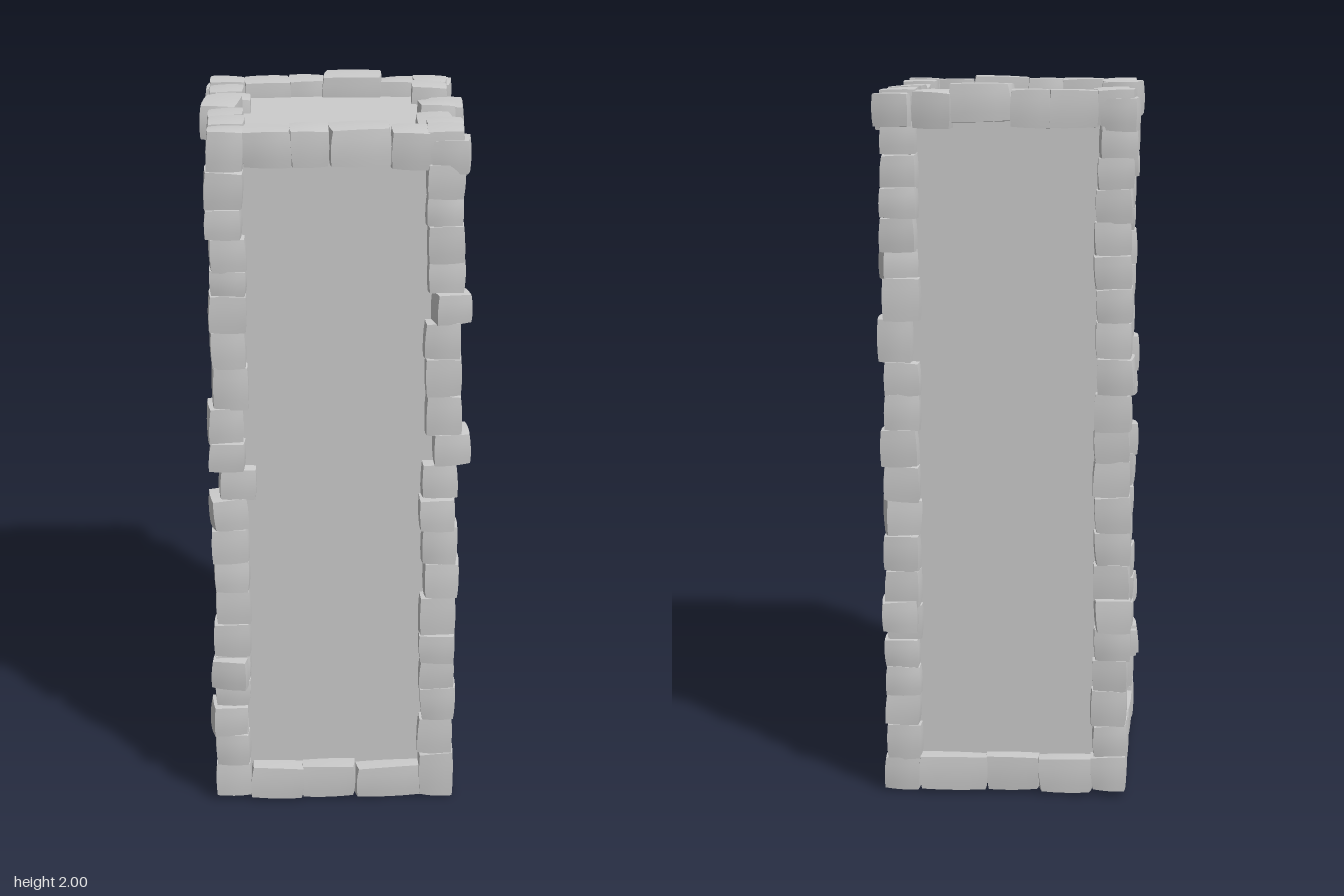
import * as THREE from 'three';
import { toCreasedNormals } from 'three/addons/utils/BufferGeometryUtils.js';

const X0 = -0.3, X1 = 0.285, Z0 = -0.32, Z1 = 0.32; // lines the stone rows follow
const TOP = 1.935, BOTTOM = 0.06, T = 0.1;          // row heights, stone thickness

// small seeded generator, -1..1
let seed = 11;
function rnd() {
  seed = (seed * 16807) % 2147483647;
  return (seed / 2147483647) * 2 - 1;
}

// pillow-shaped stone: bulging box with uneven corners and softened edges
function stoneGeometry(w, h, d) {
  const skew = Array.from({ length: 8 }, () => [rnd() * 0.035, rnd() * 0.035, rnd() * 0.035]);
  const geo = new THREE.BoxGeometry(1, 1, 1, 4, 4, 4);
  const p = geo.attributes.position;
  const v = new THREE.Vector3();
  for (let i = 0; i < p.count; i++) {
    v.fromBufferAttribute(p, i);
    const [a, b, c] = [v.x, v.y, v.z].map((t) => 1 - 4 * t * t);
    const out = v.clone();
    // each direction swells towards the middle of the face
    out.x *= 0.93 + 0.05 * (b + c);
    out.y *= 0.95 + 0.035 * (a + c);
    out.z *= 0.93 + 0.05 * (a + b);
    // blend the corner offsets across the stone
    for (let k = 0; k < 8; k++) {
      const wt = (k & 1 ? 0.5 + v.x : 0.5 - v.x) * (k & 2 ? 0.5 + v.y : 0.5 - v.y) * (k & 4 ? 0.5 + v.z : 0.5 - v.z);
      out.x += skew[k][0] * wt;
      out.y += skew[k][1] * wt;
      out.z += skew[k][2] * wt;
    }
    p.setXYZ(i, out.x * w, out.y * h, out.z * d);
  }
  return toCreasedNormals(geo, 0.7);
}

export function createModel() {
  seed = 11;
  const model = new THREE.Group();
  model.name = 'stoneEdgedPillar';
  const stoneMat = new THREE.MeshStandardMaterial({ color: 0xcccccc });
  const wallMat = new THREE.MeshStandardMaterial({ color: 0xcccccc, side: THREE.DoubleSide });

  // thin wall panels and top, open underneath
  function panel(name, w, h, pos, rx, ry) {
    const m = new THREE.Mesh(new THREE.PlaneGeometry(w, h), wallMat);
    m.name = name;
    m.position.set(...pos);
    m.rotation.set(rx, ry, 0);
    model.add(m);
  }
  const cx = (X0 + X1) / 2, W = X1 - X0 + 0.01, D = Z1 - Z0 + 0.01;
  const yLow = 0.05, yHigh = TOP + 0.005, H = yHigh - yLow, cy = (yLow + yHigh) / 2;
  panel('frontPanel', W, H, [cx, cy, D / 2], 0, 0);
  panel('backPanel', W, H, [cx, cy, -D / 2], 0, Math.PI);
  panel('leftPanel', D, H, [cx + W / 2, cy, 0], 0, Math.PI / 2);
  panel('rightPanel', D, H, [cx - W / 2, cy, 0], 0, -Math.PI / 2);
  panel('topPanel', W, D, [cx, yHigh, 0], -Math.PI / 2, 0);

  // row of stones along one axis; cuts are the joints,
  // nudges move and turn single stones: index -> [dx, dy, dz, turn about y]
  function stoneRow(name, axis, base, cuts, nudges = {}) {
    const row = new THREE.Group();
    row.name = name;
    for (let i = 0; i < cuts.length - 1; i++) {
      const size = [T, T, T];
      size[axis] = Math.abs(cuts[i + 1] - cuts[i]) + 0.004;
      const pos = [...base];
      pos[axis] = (cuts[i] + cuts[i + 1]) / 2;
      const n = nudges[i] || [0, 0, 0, 0];
      const m = new THREE.Mesh(stoneGeometry(...size), stoneMat);
      m.name = 'stone';
      m.position.set(...pos.map((q, k) => q + n[k] + (k === axis ? 0 : rnd() * 0.005)));
      m.rotation.set(rnd() * 0.03, n[3] + rnd() * 0.05, rnd() * 0.03);
      row.add(m);
    }
    model.add(row);
  }

  // corner columns
  stoneRow('frontRightColumn', 1, [X0, 0, Z1],
    [0.02, 0.12, 0.22, 0.31, 0.39, 0.47, 0.57, 0.67, 0.76, 0.86, 0.95, 1.04, 1.12, 1.22, 1.34, 1.44, 1.54, 1.61, 1.7, 1.78, 1.88, 1.985],
    { 2: [-0.01, 0, 0.01, 0.1], 9: [0, 0, 0, 0.15], 10: [0.02, 0, -0.01, 0], 12: [-0.015, 0, 0, 0.08], 18: [-0.01, 0, 0.01, 0] });
  stoneRow('frontLeftColumn', 1, [X1, 0, Z1],
    [0.01, 0.15, 0.26, 0.36, 0.45, 0.53, 0.65, 0.75, 0.86, 0.95, 1.05, 1.14, 1.25, 1.36, 1.46, 1.54, 1.63, 1.73, 1.81, 1.9, 1.985],
    { 4: [0, 0, 0.02, 0], 8: [-0.015, 0, 0.015, 0], 10: [0.025, 0, 0, 0.1], 14: [0.02, 0, 0, 0.2], 15: [0, 0, -0.015, 0.1] });
  stoneRow('backLeftColumn', 1, [X1, 0, Z0],
    [0.01, 0.1, 0.2, 0.29, 0.37, 0.45, 0.55, 0.65, 0.75, 0.85, 0.95, 1.05, 1.15, 1.24, 1.36, 1.47, 1.55, 1.64, 1.72, 1.81, 1.9, 1.985],
    { 5: [0, 0, 0.02, 0], 8: [0, 0, 0.012, 0.2], 13: [0.01, 0, 0.01, 0], 15: [0.01, 0, 0.015, 0.2], 17: [0, 0, -0.025, 0] });
  stoneRow('backRightColumn', 1, [X0, 0, Z0],
    [0.02, 0.12, 0.21, 0.31, 0.4, 0.49, 0.58, 0.68, 0.77, 0.87, 0.97, 1.06, 1.16, 1.26, 1.36, 1.45, 1.54, 1.63, 1.72, 1.8, 1.89, 1.985],
    { 5: [0, 0, -0.02, 0.1], 12: [-0.01, 0, -0.015, 0], 19: [-0.01, 0, 0, 0.12] });

  // top rim
  const rimX = [-0.25, -0.125, -0.025, 0.14, 0.24];
  stoneRow('topFrontRim', 0, [0, TOP, Z1], rimX, { 1: [0, 0, -0.012, 0], 2: [0, 0.008, 0, 0] });
  stoneRow('topBackRim', 0, [0, TOP, Z0 - 0.01], rimX, { 1: [0, 0, -0.01, 0], 2: [0, 0.01, 0, -0.07] });
  stoneRow('topRightRim', 2, [X0, TOP, 0], [-0.27, -0.16, -0.07, 0.078, 0.16, 0.27],
    { 1: [0.012, 0, 0, 0], 2: [-0.01, 0.01, 0, -0.09] });
  stoneRow('topLeftRim', 2, [X1, TOP, 0], [-0.27, -0.18, -0.065, 0.025, 0.18, 0.27],
    { 0: [-0.01, 0, 0, 0], 1: [0.03, -0.025, 0, -0.12], 3: [-0.012, -0.015, 0, 0] });

  // bottom rim
  const baseX = [-0.25, -0.1, 0.05, 0.24];
  const baseZ = [-0.27, -0.09, 0.07, 0.27];
  stoneRow('bottomFrontRim', 0, [0, BOTTOM, Z1], baseX);
  stoneRow('bottomBackRim', 0, [0, BOTTOM, Z0], baseX);
  stoneRow('bottomLeftRim', 2, [X1, BOTTOM, 0], baseZ);
  stoneRow('bottomRightRim', 2, [X0, BOTTOM, 0], baseZ);

  // loose corner stones turned out of line: [x, y, z, turn]
  [[0.295, 1.93, -0.345, -0.15], [-0.315, 1.92, -0.33, -0.14], [0.3, 1.92, 0.325, -0.14],
    [-0.305, 0.42, 0.345, -0.15], [-0.31, 0.26, 0.32, 0.12], [0.295, 0.52, -0.335, 0.1]]
    .forEach(([x, y, z, turn]) => {
      const m = new THREE.Mesh(stoneGeometry(T, 0.09, T), stoneMat);
      m.name = 'looseCornerStone';
      m.position.set(x, y, z);
      m.rotation.y = turn;
      model.add(m);
    });

  return model;
}
